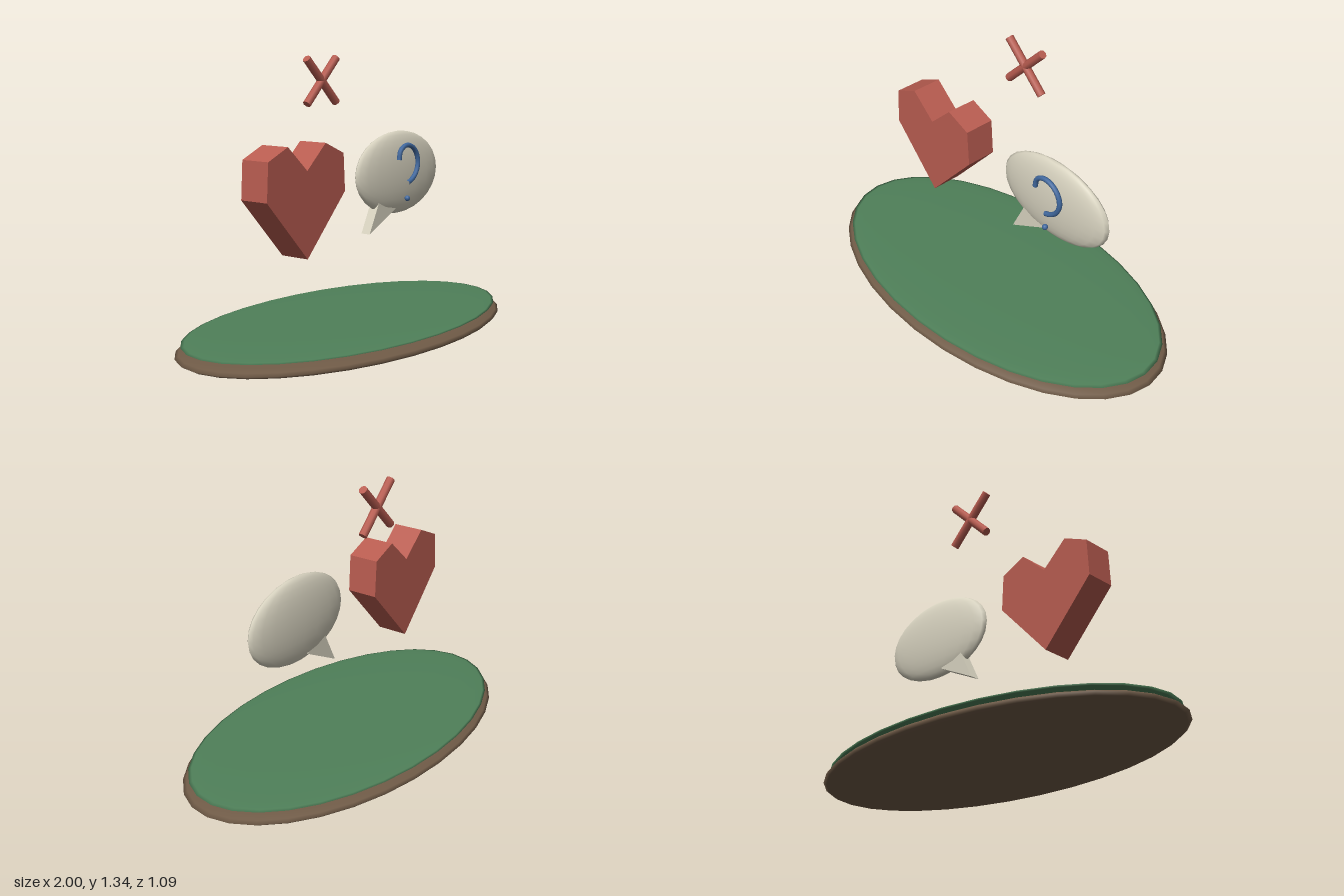
import * as THREE from 'three';

const mat = (color) => new THREE.MeshStandardMaterial({ color });

function add(parent, name, geometry, material, x = 0, y = 0, z = 0) {
  const mesh = new THREE.Mesh(geometry, material);
  mesh.name = name;
  mesh.position.set(x, y, z);
  parent.add(mesh);
  return mesh;
}

const ellipsoid = (rx, ry, rz, w, h) => new THREE.SphereGeometry(1, w, h).scale(rx, ry, rz);

// Flat outline given thickness, centred on z = 0
function slab(points, depth) {
  const shape = new THREE.Shape(points.map(([x, y]) => new THREE.Vector2(x, y)));
  return new THREE.ExtrudeGeometry(shape, { depth, bevelEnabled: false }).translate(0, 0, -depth / 2);
}

export function createModel() {
  const model = new THREE.Group();
  const red = mat(0xb85c50);
  const cream = mat(0xd8d3c0);
  const blue = mat(0x41699f);

  // Oval island: earth with a thin layer of grass
  add(model, 'earthBase', ellipsoid(1, 0.06, 0.545, 32, 16), mat(0x705b47), 0, 0.06, 0);
  add(model, 'grassTop', ellipsoid(0.97, 0.018, 0.525, 32, 16), mat(0x4f8059), 0, 0.105, 0);

  // Faceted heart, right half mirrored to the left
  const half = [[0, -0.28], [0.26, 0], [0.25, 0.175], [0.125, 0.23], [0, 0.115]];
  const mirrored = half.slice(1, 4).reverse().map(([x, y]) => [-x, y]);
  add(model, 'heart', slab([...half, ...mirrored], 0.152), red, -0.38, 0.73, 0);

  // Speech bubble with pointed tail
  const bubble = new THREE.Group();
  bubble.name = 'speechBubble';
  bubble.position.set(0.375, 0.765, 0);
  model.add(bubble);
  add(bubble, 'bubbleBody', ellipsoid(0.325, 0.203, 0.05, 20, 14), cream);
  add(bubble, 'bubbleTail', slab([[-0.248, -0.277], [-0.04, -0.175], [-0.175, -0.13]], 0.05), cream);

  // Question mark: curved hook and dot
  const hook = new THREE.CatmullRomCurve3([
    [-0.068, 0.068], [-0.058, 0.11], [-0.02, 0.135], [0.03, 0.13], [0.07, 0.095],
    [0.085, 0.045], [0.068, -0.005], [0.03, -0.038], [0, -0.048],
  ].map(([x, y]) => new THREE.Vector3(x, y, 0.064)));
  add(bubble, 'questionHook', new THREE.TubeGeometry(hook, 32, 0.012, 8), blue);
  add(bubble, 'questionDot', new THREE.SphereGeometry(0.014, 12, 8), blue, 0, -0.125, 0.064);

  // Crossed rods
  const cross = new THREE.Group();
  cross.name = 'cross';
  cross.position.set(0, 1.22, -0.166);
  model.add(cross);
  for (const side of [-1, 1]) {
    const rod = add(cross, 'crossRod', new THREE.CylinderGeometry(0.02, 0.02, 0.3, 8), red);
    rod.rotation.z = side * Math.PI / 4;
  }

  return model;
}
